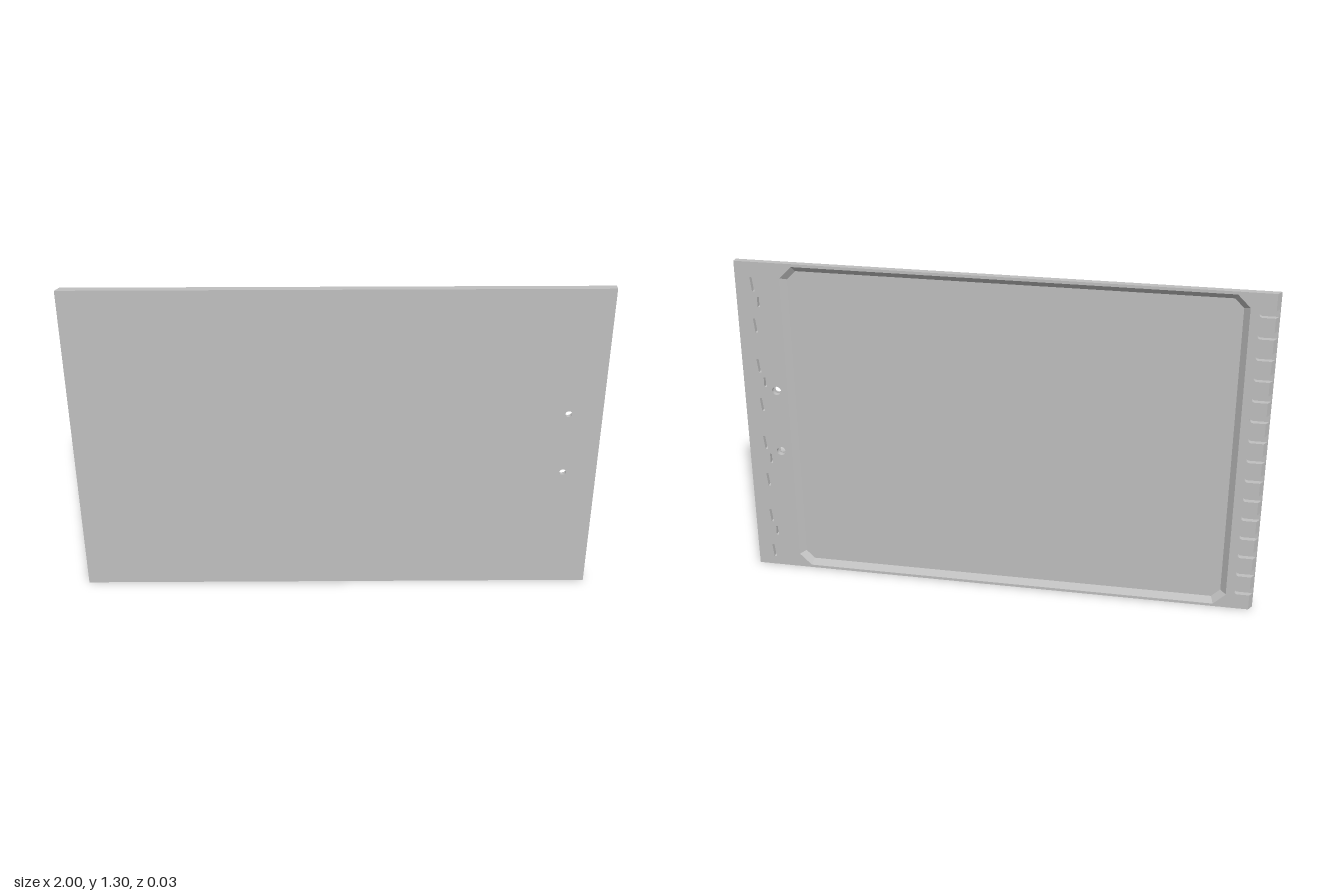
import * as THREE from 'three';

const H = 1.304;                              // panel height
const BACK = -0.0125, MID = 0.0075, FRONT = 0.0125;
const BEVEL = 0.015;                          // lean of the -x edge

// Extrude a shape between two depths and lean its -x edge
function layer(shape, z0, z1) {
  const g = new THREE.ExtrudeGeometry(shape, { depth: z1 - z0, bevelEnabled: false, curveSegments: 10 });
  g.translate(0, 0, z0);
  const p = g.attributes.position;
  for (let i = 0; i < p.count; i++) {
    if (p.getX(i) < -0.999) p.setX(i, -1 + BEVEL * (FRONT - p.getZ(i)) / (FRONT - BACK));
  }
  g.computeVertexNormals();
  return g;
}

// Rectangle with cut corners, counter-clockwise
function cutRect(x0, x1, y0, y1, c) {
  return [[x0 + c, y0], [x1 - c, y0], [x1, y0 + c], [x1, y1 - c],
    [x1 - c, y1], [x0 + c, y1], [x0, y1 - c], [x0, y0 + c]].map(([x, y]) => new THREE.Vector2(x, y));
}

function polygon(points) {
  return new THREE.Path(points.map(([x, y]) => new THREE.Vector2(x, y)));
}

function circle(x, y, r) {
  return new THREE.Path().absarc(x, y, r, 0, Math.PI * 2, false);
}

export function createModel() {
  const group = new THREE.Group();
  const grey = new THREE.MeshStandardMaterial({ color: 0xc0c0c0 });
  grey.name = 'panel grey';
  const add = (name, geometry) => {
    const mesh = new THREE.Mesh(geometry, grey);
    mesh.name = name;
    group.add(mesh);
  };
  const boltHoles = [0.525, 0.785];

  // Thin front sheet with two through holes
  const sheet = new THREE.Shape([[-1, 0], [1, 0], [1, H], [-1, H]].map(([x, y]) => new THREE.Vector2(x, y)));
  for (const y of boltHoles) sheet.holes.push(circle(0.872, y, 0.0125));
  add('frontSheet', layer(sheet, MID, FRONT));

  // Back frame, with fifteen round-ended notches along the -x edge
  const frame = new THREE.Shape();
  frame.moveTo(-1, 0).lineTo(1, 0).lineTo(1, H).lineTo(-1, H);
  const r = 0.014;
  for (let i = 14; i >= 0; i--) {
    const y = 0.078 + i * 0.082;
    frame.lineTo(-1, y + r);
    frame.lineTo(-0.94, y + r);
    frame.absarc(-0.94, y, r, Math.PI / 2, -Math.PI / 2, true);
    frame.lineTo(-1, y - r);
  }
  frame.closePath();

  // Large recess, counterbores, tapered pockets and small slots
  const rim = cutRect(-0.895, 0.827, 0.011, H - 0.011, 0.047);
  frame.holes.push(new THREE.Path(rim));
  for (const y of boltHoles) frame.holes.push(circle(0.872, y, 0.018));
  for (let i = 0; i < 8; i++) {
    const y = 0.064 + i * 0.1645;
    frame.holes.push(polygon([[0.927, y - 0.028], [0.937, y - 0.028], [0.943, y + 0.028], [0.921, y + 0.028]]));
  }
  for (let i = 0; i < 4; i++) {
    const y = 0.16 + i * 0.329;
    frame.holes.push(polygon([[0.91, y - 0.02], [0.92, y - 0.02], [0.92, y + 0.02], [0.91, y + 0.02]]));
  }
  add('backFrame', layer(frame, BACK, MID));

  // Sloping walls around the recess
  const t = 0.022;
  const foot = cutRect(-0.895 + t, 0.827 - t, 0.011 + t, H - 0.011 - t, 0.047 - t * (2 - Math.SQRT2));
  const pos = [];
  rim.forEach((a, i) => {
    const j = (i + 1) % rim.length, b = rim[j], c = foot[j], d = foot[i];
    pos.push(a.x, a.y, BACK, c.x, c.y, MID, b.x, b.y, BACK);
    pos.push(a.x, a.y, BACK, d.x, d.y, MID, c.x, c.y, MID);
  });
  const walls = new THREE.BufferGeometry();
  walls.setAttribute('position', new THREE.Float32BufferAttribute(pos, 3));
  walls.computeVertexNormals();
  add('recessWalls', walls);

  return group;
}
